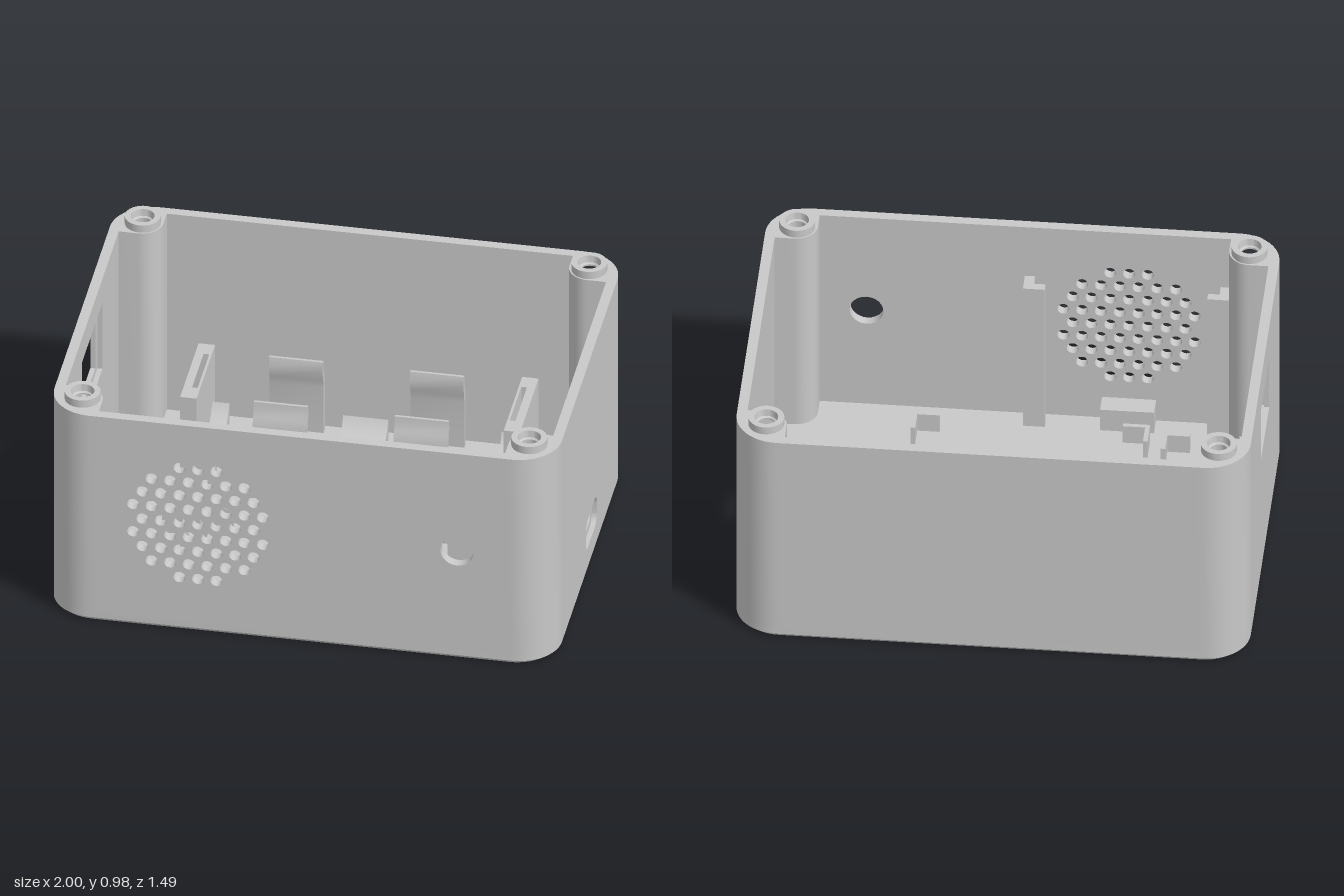
import * as THREE from 'three';
import { toCreasedNormals } from 'three/addons/utils/BufferGeometryUtils.js';

const FLOOR = 0.04, RIM = 0.947, W = 1, D = 0.747, T = 0.04, CORNER = 0.168;
const POST_X = 0.88, POST_Z = 0.627;

export function createModel() {
  const model = new THREE.Group();
  model.name = 'electronicsEnclosure';
  const grey = new THREE.MeshStandardMaterial({ color: 0xc8c8c8 });
  grey.name = 'light grey plastic';

  const add = (name, geo, parent = model) => {
    const mesh = new THREE.Mesh(geo, grey);
    mesh.name = name;
    parent.add(mesh);
  };
  const group = (name) => {
    const g = new THREE.Group();
    g.name = name;
    model.add(g);
    return g;
  };
  const extrude = (shape, depth, steps = 1) =>
    new THREE.ExtrudeGeometry(shape, { depth, steps, bevelEnabled: false, curveSegments: 12 });
  const poly = (pts) => new THREE.Shape(pts.map(([x, y]) => new THREE.Vector2(x, y)));
  const rect = (x0, y0, x1, y1) => poly([[x0, y0], [x1, y0], [x1, y1], [x0, y1]]);
  const circle = (x, y, r) => new THREE.Path().absarc(x, y, r, 0, Math.PI * 2, true);
  const arc = (cx, cy, r, a0, a1, n = 12) => Array.from({ length: n + 1 }, (_, i) => {
    const a = (a0 + (a1 - a0) * i / n) * Math.PI / 180;
    return [cx + r * Math.cos(a), cy + r * Math.sin(a)];
  });
  const roundRect = (cx, cy, w, h, r) => poly([
    ...arc(cx + w - r, cy + h - r, r, 0, 90), ...arc(cx - w + r, cy + h - r, r, 90, 180),
    ...arc(cx - w + r, cy - h + r, r, 180, 270), ...arc(cx + w - r, cy - h + r, r, 270, 360)]);
  const smooth = (geo) => toCreasedNormals(geo, 0.5);
  // Plan outline given as (x, -z), raised from y0 to y1
  const raise = (shape, y0, y1) =>
    smooth(extrude(shape, y1 - y0).rotateX(-Math.PI / 2).translate(0, y0, 0));
  // Box from its two corners
  const box = (x0, y0, z0, x1, y1, z1) => new THREE.BoxGeometry(x1 - x0, y1 - y0, z1 - z0)
    .translate((x0 + x1) / 2, (y0 + y1) / 2, (z0 + z1) / 2);
  // Profile given as (-z, y), swept along x
  const sweepX = (shape, x0, x1) =>
    smooth(extrude(shape, x1 - x0).rotateY(Math.PI / 2).translate(x0, 0, 0));

  // Floor with a small chamfer at the bottom edge
  const floor = extrude(roundRect(0, 0, W, D, CORNER), FLOOR, 2).rotateX(-Math.PI / 2);
  const p = floor.attributes.position;
  for (let i = 0; i < p.count; i++) {
    const y = p.getY(i);
    if (y < 0.01) p.setXYZ(i, p.getX(i) * 0.987, 0, p.getZ(i) * 0.983);
    else if (y < 0.03) p.setY(i, 0.015);
  }
  add('floor', smooth(floor));

  // Front wall with speaker grille and button hole
  const front = rect(-0.8, FLOOR, 0.8, RIM);
  for (let row = -4; row <= 4; row++) {
    for (let k = -5; k <= 5; k++) {
      const dx = (k + (row % 2 ? 0.5 : 0)) * 0.073, dy = row * 0.0632;
      if (Math.hypot(dx, dy) < 0.275) front.holes.push(circle(-0.403 + dx, 0.496 + dy, 0.0237));
    }
  }
  front.holes.push(circle(0.618, 0.496, 0.066));
  add('frontWall', smooth(extrude(front, T).translate(0, 0, D - T)));
  add('backWall', box(-0.8, FLOOR, -D, 0.8, RIM, -D + T));

  // Side walls in two layers, so that the openings are stepped
  const sideLayer = (name, side, x, hole) => {
    const s = rect(-0.55, FLOOR, 0.55, RIM);
    s.holes.push(hole);
    const geo = extrude(s, T / 2).translate(0, 0, x).rotateY(side * Math.PI / 2);
    add(name, smooth(geo));
  };
  sideLayer('leftWallOuter', 1, W - T / 2, roundRect(0.032, 0.169, 0.116, 0.066, 0.045));
  sideLayer('leftWallInner', 1, W - T, roundRect(0.032, 0.169, 0.085, 0.038, 0.034));
  sideLayer('rightWallOuter', -1, W - T / 2, rect(-0.17, 0.555, 0.168, 0.795));
  sideLayer('rightWallInner', -1, W - T, rect(-0.21, 0.53, 0.212, 0.835));

  // Corner columns with screw holes and raised collars
  for (const sx of [-1, 1]) for (const sz of [-1, 1]) {
    const outline = [[0.8, D], ...arc(W - CORNER, D - CORNER, CORNER, 90, 0), [W, 0.55],
      ...arc(0.885, 0.635, 0.085, 270, 180)];
    const column = poly(outline.map(([x, z]) => [x * sx, z * sz]));
    column.holes.push(circle(POST_X * sx, POST_Z * sz, 0.035));
    add('cornerColumn', raise(column, FLOOR, RIM));
    const ring = [[0.07, 0.94], [0.07, 0.98], [0.046, 0.98], [0.042, 0.952], [0.035, 0.947], [0.035, 0.94]]
      .map(([r, y]) => new THREE.Vector2(r, y));
    const collar = toCreasedNormals(new THREE.LatheGeometry(ring, 32), 0.5);
    add('screwCollar', collar.translate(POST_X * sx, 0, POST_Z * sz));
  }

  // Speaker rails and lower stop behind the grille
  const speaker = group('speakerHolder');
  for (const [x, s] of [[0.002, -1], [-0.8, 1]]) {
    const rail = [[x, -0.71], [x, -0.625], [x + s * 0.085, -0.625], [x + s * 0.085, -0.66],
      [x + s * 0.04, -0.66], [x + s * 0.04, -0.71]];
    add('speakerRail', raise(poly(rail), FLOOR, 0.71), speaker);
  }
  add('speakerStop', box(-0.508, FLOOR, 0.625, -0.298, 0.14, 0.71), speaker);

  // Battery holder: cradles, slotted end walls and spring clips
  const battery = group('batteryHolder');
  const axis = 0.4885, axisY = 0.235;
  const cradle = poly([[0.351, FLOOR], [0.626, FLOOR], ...arc(axis, axisY, 0.16, -31, -149, 20)]);
  for (const [x0, x1] of [[-0.607, -0.538], [-0.09, 0.088], [0.535, 0.605]]) {
    add('batteryCradle', sweepX(cradle, x0, x1), battery);
  }
  for (const s of [-1, 1]) {
    const end = rect(s * 0.605, 0.295, s * 0.67, 0.68);
    end.holes.push(rect(s * 0.615, 0.37, s * 0.637, 0.61));
    add('batteryEndWall', raise(end, FLOOR, 0.38), battery);
    const clip = poly([[0.167, FLOOR], [0.193, FLOOR], [0.193, 0.25], [0.189, 0.285], [0.18, 0.315],
      [0.17, 0.34], [0.166, 0.375], [0.155, 0.375], [0.146, 0.335], [0.16, 0.285], [0.167, 0.25]]
      .map(([u, y]) => [axis + s * u, y]));
    for (const x of [-0.385, 0.17]) add('batteryClip', sweepX(clip, x, x + 0.212), battery);
  }

  // Corner brackets that locate three circuit boards: x0, z0, x1, z1
  const brackets = group('boardBrackets');
  const boards = [[-0.955, -0.264, -0.518, 0.098], [-0.955, 0.127, -0.553, 0.532], [-0.498, 0.042, 0.424, 0.573]];
  for (const [x0, z0, x1, z1] of boards) {
    for (const [x, sx] of [[x0, 1], [x1, -1]]) for (const [z, sz] of [[z0, 1], [z1, -1]]) {
      const L = [[0, 0], [0.105, 0], [0.105, 0.018], [0.018, 0.018], [0.018, 0.105], [0, 0.105]];
      add('boardBracket', raise(poly(L.map(([a, b]) => [x + sx * a, -(z + sz * b)])), FLOOR, 0.12), brackets);
    }
  }

  // Charger guides beside the port, with a ledge for the board
  const charger = group('chargerHolder');
  for (const s of [-1, 1]) {
    const guide = (name, x0, x1, y0, y1, a, b) => {
      const [z0, z1] = [-0.038 + s * a, -0.038 + s * b].sort((m, n) => m - n);
      add(name, box(x0, y0, z0, x1, y1, z1), charger);
    };
    guide('guideLedge', 0.465, 0.96, FLOOR, 0.12, 0.13, 0.175);
    guide('guideRail', 0.465, 0.78, 0.12, 0.18, 0.155, 0.175);
    guide('guideRail', 0.78, 0.96, 0.12, 0.18, 0.145, 0.175);
  }

  // Screw boss on the floor
  const boss = new THREE.Shape().absarc(0.436, 0.038, 0.06, 0, Math.PI * 2);
  boss.holes.push(circle(0.436, 0.038, 0.025));
  add('screwBoss', raise(boss, FLOOR, 0.12));

  return model;
}
